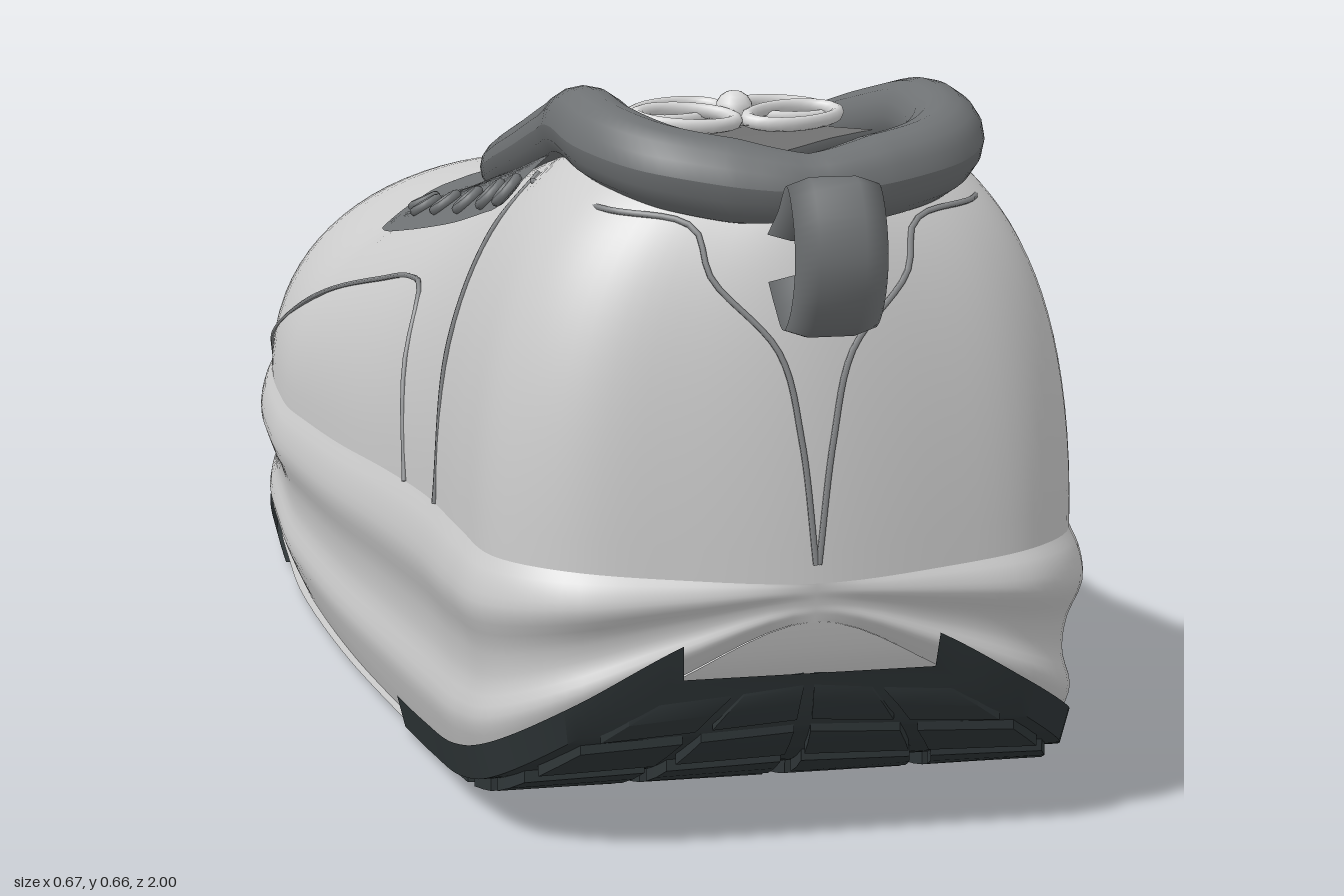
import * as THREE from 'three';
import { mergeGeometries, toCreasedNormals } from 'three/addons/utils/BufferGeometryUtils.js';

const V = (x, y, z) => new THREE.Vector3(x, y, z);
const lerp = THREE.MathUtils.lerp;

// Half-outline, heel centre to toe tip: half width, sole line height, z, opening half width, opening height, bottom height
const stations = [
  [0, .25, .925, 0, .57, .215],
  [.12, .255, .908, .06, .575, .165],
  [.21, .26, .878, .115, .585, .108],
  [.262, .262, .82, .148, .597, .065],
  [.275, .265, .72, .155, .605, .035],
  [.28, .262, .58, .145, .585, .016],
  [.292, .25, .4, .135, .547, .007],
  [.31, .235, .2, .12, .508, .006],
  [.32, .22, 0, .095, .47, .006],
  [.322, .21, -.12, .045, .457, .008],
  [.32, .207, -.2, 0, .46, .014],
  [.305, .2, -.4, 0, .448, .014],
  [.265, .195, -.6, 0, .4, .02],
  [.19, .18, -.8, 0, .305, .057],
  [.15, .175, -.87, 0, .26, .08],
  [.08, .165, -.94, 0, .205, .113],
  [0, .15, -1, 0, .152, .143],
];

// Smooth line round the shoe; s runs from -16 (toe) over 0 (heel) to 16 (toe)
function line(pick) {
  const right = stations.map((r) => pick(...r));
  const left = right.slice(1).reverse().map((p) => V(-p.x, p.y, p.z));
  const curve = new THREE.CatmullRomCurve3([...left, ...right]);
  return (s) => {
    const p = curve.getPoint(THREE.MathUtils.clamp((s + 16) / 32, 0, 1));
    p.x = s > 0 ? Math.max(0, p.x) : Math.min(0, p.x);
    return p;
  };
}
const soleLine = line((w, y, z) => V(w, y, z));
const edgeLine = line((w, y, z, ew, ey) => V(ew, ey, z - .12 * Math.max(0, z - .58)));
const bottomLine = line((w, y, z, ew, ey, by) => V(w * .975, by, z * .993));

// Horizontal outward direction of a line
function outward(fn, s) {
  const t = fn(s + .05).sub(fn(s - .05));
  return V(-t.z, 0, t.x).normalize();
}

// Surface of the upper: v = 0 at the sole, 1 at the opening or ridge
function upperAt(s, v) {
  const b = soleLine(s), e = edgeLine(s), h = e.y - b.y;
  const open = THREE.MathUtils.smoothstep(11 - Math.abs(s), 0, 6);
  const p1 = V(b.x, b.y + h * .6, b.z);
  const p2 = V(e.x + (b.x - e.x) * .55, e.y - .045 * open, e.z + (b.z - e.z) * .55);
  return new THREE.CubicBezierCurve3(b, p1, p2, e).getPoint(v);
}
function upperNormal(s, v) {
  const a = Math.min(v, .97), d = .02;
  const ds = upperAt(s + d, a).sub(upperAt(s - d, a));
  return ds.cross(upperAt(s, a + d).sub(upperAt(s, Math.max(0, a - d)))).normalize();
}
const onUpper = (s, v, off) => upperAt(s, v).addScaledVector(upperNormal(s, v), off);

// Grid surface from a rule fn(u, v)
function grid(nu, nv, fn) {
  const pos = [], idx = [];
  for (let i = 0; i <= nu; i++) for (let j = 0; j <= nv; j++) pos.push(...fn(i / nu, j / nv).toArray());
  for (let i = 0; i < nu; i++) for (let j = 0; j < nv; j++) {
    const a = i * (nv + 1) + j, b = a + nv + 1;
    idx.push(a, b, a + 1, b, b + 1, a + 1);
  }
  const g = new THREE.BufferGeometry();
  g.setAttribute('position', new THREE.Float32BufferAttribute(pos, 3));
  g.setIndex(idx);
  g.computeVertexNormals();
  return g;
}
const tube = (pts, r, n) => new THREE.TubeGeometry(new THREE.CatmullRomCurve3(pts), n, r, 6);

export function createModel() {
  const group = new THREE.Group();
  const mat = (name, color) => {
    const m = new THREE.MeshStandardMaterial({ color, side: THREE.DoubleSide });
    m.name = name;
    return m;
  };
  const light = mat('light grey upper', 0xcdcdcd), dark = mat('dark grey trim', 0x6f7274);
  const rubber = mat('black rubber', 0x2f3638), lining = mat('grey lining', 0x8c8c8c);
  const lace = mat('pale lace', 0xd8d8d8), thread = mat('grey stitching', 0x86888a);
  const add = (name, geo, m) => {
    const mesh = new THREE.Mesh(geo, m);
    mesh.name = name;
    group.add(mesh);
    return mesh;
  };

  // Upper shell
  add('upper', grid(192, 20, (u, v) => upperAt(lerp(-16, 16, u), v)), light);

  // Midsole wall with two soft ridges, and its underside
  const ridge = new THREE.CatmullRomCurve3([[0, -.008], [.12, .002], [.26, .01], [.42, .001], [.58, .003],
    [.76, .015], [.9, .01], [1, 0]].map(([a, o]) => V(a, o, 0)));
  add('midsole', grid(192, 24, (u, v) => {
    const s = lerp(-16, 16, u), b = soleLine(s), r = ridge.getPoint(v);
    const fade = Math.min(1, Math.abs(b.x) / .2);
    return bottomLine(s).lerp(b, r.x).addScaledVector(outward(soleLine, s), r.y * fade);
  }), light);
  const under = (s, b, drop) => {
    const p = bottomLine(s);
    return V(p.x * b, p.y - drop, p.z);
  };
  add('midsoleUnderside', grid(96, 2, (u, v) => under(u * 16, v * 2 - 1, 0)), light);

  // Rubber outsole: heel and forefoot plates with a raised rim and tread lugs
  const rim = [[-1, .03], [-1, -.002], [1, -.002], [1, .03]];
  for (const [name, s0, s1, rows] of [['heel', .95, 5.67, 6], ['forefoot', 10.05, 15.6, 10]]) {
    const plate = grid(40, 3, (u, v) => {
      const [side, lift] = rim[Math.round(v * 3)], s = lerp(s0, s1, u);
      const n = outward(bottomLine, s).multiplyScalar(lift > 0 ? .012 : .004);
      return under(s, side, -lift).add(V(n.x * side, 0, n.z));
    });
    add(name + 'Outsole', toCreasedNormals(plate, .6), rubber);
    const lugs = [], step = (s1 - s0) / rows;
    for (let r = 0; r < rows; r++) for (let c = 0; c < 4; c++) {
      const g = new THREE.BoxGeometry(1, 1, 1, 1, 1, 2), p = g.attributes.position;
      for (let i = 0; i < p.count; i++) {
        const b = (c - 1.5 + p.getX(i) * .84) / 2;
        const bend = .3 * step * Math.abs(b);
        const s = Math.min(s1, s0 + step * (r + .4 - p.getZ(i) * .72) + bend);
        const q = under(s, b, p.getY(i) > 0 ? 0 : .014);
        p.setXYZ(i, q.x, Math.max(0, q.y), q.z);
      }
      lugs.push(g);
    }
    add(name + 'Tread', toCreasedNormals(mergeGeometries(lugs), .5), rubber);
  }

  // Padded collar around the opening, thinner towards the front
  add('collar', grid(128, 16, (u, v) => {
    const s = lerp(-9.97, 9.97, u), a = v * Math.PI * 2, k = Math.abs(s) / 10;
    const r = lerp(.037, .024, k * k) - .008 * Math.max(0, 1 - Math.abs(s));
    return edgeLine(s).addScaledVector(outward(edgeLine, s), r * Math.cos(a))
      .add(V(0, .017 + r * Math.sin(a), 0));
  }), dark);
  const tip = add('collarTip', new THREE.ConeGeometry(.014, .1, 10), dark);
  tip.rotation.x = -Math.PI / 2;
  tip.position.set(0, .466, -.215);

  // Lace panels, eyelets and seams, the same on both sides
  const panelEdge = [[4.7, .7], [5, .67], [7, .62], [8.6, .6], [9.2, .66], [9.75, .72], [9.95, .84], [10, .87]];
  const edgeAt = (s) => {
    const i = Math.max(1, panelEdge.findIndex((p) => p[0] >= s));
    const [a, b] = [panelEdge[i - 1], panelEdge[i]];
    return lerp(a[1], b[1], (s - a[0]) / (b[0] - a[0]));
  };
  const seams = {
    HeelCounterSeam: [[4.78, 0], [4.78, .3], [4.78, .6], [4.78, .85]],
    SideOverlaySeam: [[5.55, 0], [5.75, .22], [5.95, .42], [6.3, .46], [7, .44], [8.5, .36], [10, .25], [11, .1], [11.5, 0]],
    ToeCapSeam: [[12.95, 0], [13.3, .3], [13.7, .65], [14, 1]],
    HeelPanelSeam: [[.01, .03], [.12, .25], [.3, .45], [.95, .66], [1.25, .82], [1.5, .86], [2.5, .83], [4.6, .8]],
  };
  for (const [name, k] of [['left', 1], ['right', -1]]) {
    add(name + 'LacePanel', grid(48, 8, (u, v) => {
      const s = lerp(4.7, 10, u);
      return onUpper(s * k, lerp(edgeAt(s), 1, v), .007);
    }), dark);
    for (const s of [4.9, 5.45, 6.15, 6.85, 7.6, 8.5]) {
      const ring = add(name + 'Eyelet', new THREE.TorusGeometry(.014, .005, 8, 16), dark);
      ring.position.copy(onUpper(s * k, .74, .01));
      ring.quaternion.setFromUnitVectors(V(0, 0, 1), upperNormal(s * k, .74));
    }
    for (const [seam, pts] of Object.entries(seams))
      add(name + seam, tube(pts.map(([s, v]) => onUpper(s * k, v, .001)), .0028, 48), thread);
  }

  // Tongue and insole
  add('tongue', grid(40, 8, (u, v) => {
    const e = edgeLine(lerp(4.35, 9.8, u)), b = v * 2 - 1;
    return V(e.x * b, e.y + .012 * (1 - b * b), e.z);
  }), light);
  add('insole', grid(64, 2, (u, v) => {
    const p = soleLine(u * 12);
    return V(p.x * .94 * (v * 2 - 1), .32 - .1 * u, p.z * .96);
  }), lining);

  // Crossed laces and bow
  const heightAt = (z) => lerp(.487, .612, (z + .02) / .64);
  for (let i = 0; i < 5; i++) for (const k of [-1, 1]) {
    const z0 = -.01 + i * .115, z1 = z0 + .095, zm = (z0 + z1) / 2, w = .075 + .01 * i;
    add('lace', tube([V(-k * w, heightAt(z0) - .004, z0), V(0, heightAt(zm) + .008 + k * .003, zm),
      V(k * w, heightAt(z1) - .004, z1)], .008, 8), lace);
  }
  for (const k of [-1, 1]) for (const z of [.6, .64]) {
    const loop = add('bowLoop', new THREE.TorusGeometry(.045, .007, 8, 24), lace);
    loop.scale.set(1, .55, 1);
    loop.rotation.set(-Math.PI / 2 + .2, 0, k * .25 * (z > .62 ? 1 : -1));
    loop.position.set(k * .05, .618, z);
  }
  const knot = add('bowKnot', new THREE.SphereGeometry(.018, 12, 8), lace);
  knot.position.set(0, .622, .62);

  // Heel pull tab: a flat strap loop
  const tab = add('pullTab', tube([V(0, .55, .9), V(0, .575, .935), V(0, .6, .962), V(0, .575, .984), V(0, .535, .992),
    V(0, .495, .978), V(0, .477, .955), V(0, .492, .928), V(0, .51, .905)], .008, 40), dark);
  tab.scale.x = 5;
  return group;
}
